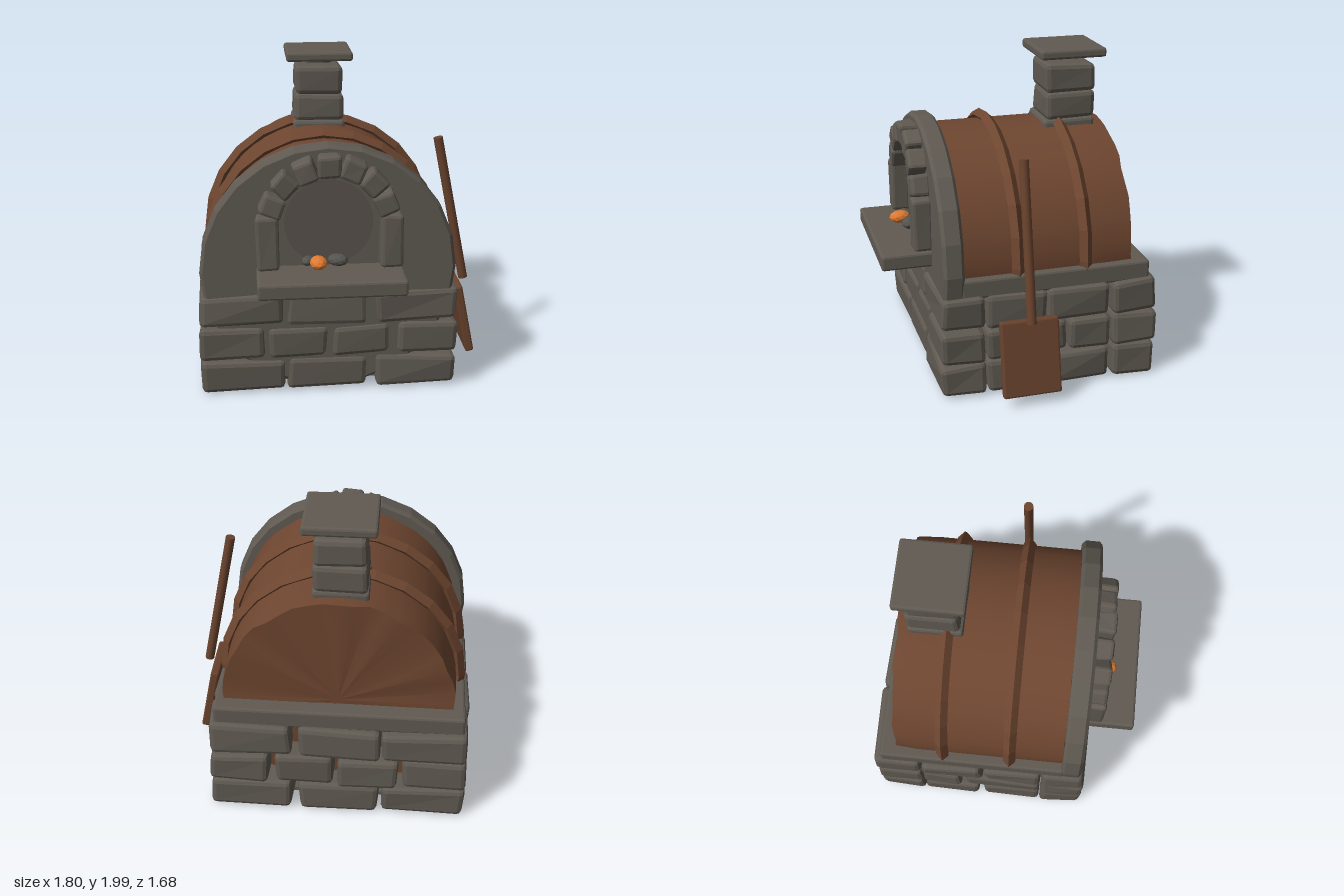
import * as THREE from 'three';
import { RoundedBoxGeometry } from 'three/addons/geometries/RoundedBoxGeometry.js';

const CX = -0.09; // centre line of the oven body

export function createModel() {
  const root = new THREE.Group();
  root.name = 'brickOven';

  const mat = (name, color) => {
    const m = new THREE.MeshStandardMaterial({ color });
    m.name = name;
    return m;
  };
  const stone = mat('stone', 0x605a52);
  const clay = mat('clay', 0x6e4630);
  const wood = mat('wood', 0x6a432e);
  const hollow = mat('hollow', 0x5a544d);
  const coal = mat('coal', 0x55534f);
  const ember = mat('ember', 0xdd7a32);

  let seed = 7;
  const rnd = () => {
    seed = (seed * 16807) % 2147483647;
    return (seed / 2147483647) * 2 - 1;
  };

  const add = (name, geo, material, x = 0, y = 0, z = 0, parent = root) => {
    const mesh = new THREE.Mesh(geo, material);
    mesh.name = name;
    mesh.position.set(x, y, z);
    parent.add(mesh);
    return mesh;
  };
  const flat = (geo) => {
    const g = geo.index ? geo.toNonIndexed() : geo;
    g.computeVertexNormals();
    return g;
  };
  const group = (name) => {
    const g = new THREE.Group();
    g.name = name;
    root.add(g);
    return g;
  };

  // Rounded block whose eight corners are nudged for a hand-cut look
  const block = (w, h, d, wobble = 0, radius = 0.03) => {
    const geo = new RoundedBoxGeometry(w, h, d, 1, Math.min(radius, w / 3, h / 3, d / 3));
    const offs = Array.from({ length: 8 }, () => new THREE.Vector3(rnd(), rnd(), rnd()).multiplyScalar(wobble));
    const p = geo.attributes.position;
    const v = new THREE.Vector3();
    for (let i = 0; i < p.count; i++) {
      v.fromBufferAttribute(p, i);
      const t = [v.x / w + 0.5, v.y / h + 0.5, v.z / d + 0.5];
      offs.forEach((o, k) => {
        const wt = t.reduce((a, c, j) => a * ((k >> j) & 1 ? c : 1 - c), 1);
        v.addScaledVector(o, wt);
      });
      p.setXYZ(i, v.x, v.y, v.z);
    }
    return flat(geo);
  };
  // Block given by its limits
  const span = (name, [x0, x1], [y0, y1], [z0, z1], wobble, parent, radius) =>
    add(name, block(x1 - x0, y1 - y0, z1 - z0, wobble, radius), stone,
      (x0 + x1) / 2, (y0 + y1) / 2, (z0 + z1) / 2, parent);

  // Base: three courses of bricks around the four sides
  const base = group('brickBase');
  const three = [[-0.89, -0.37], [-0.35, 0.15], [0.2, 0.71]];
  const four = [[-0.89, -0.5], [-0.47, -0.1], [-0.07, 0.29], [0.34, 0.71]];
  const courses = [
    { y: [0.015, 0.225], xs: three, split: -0.13 },
    { y: [0.235, 0.44], xs: four, split: -0.25 },
    { y: [0.455, 0.66], xs: three, split: -0.11 },
  ];
  courses.forEach(({ y, xs, split }) => {
    xs.forEach((x, i) => {
      const inset = i === 0 || i === xs.length - 1 ? 0 : 0.012;
      span('frontBrick', x, y, [0.28, 0.555 - inset], 0.014, base);
      span('backBrick', x, y, [-0.83, -0.535], 0.014, base);
    });
    for (const z of [[split + 0.01, 0.265], [-0.52, split - 0.01]]) {
      span('leftBrick', [0.43, 0.71], y, z, 0.014, base);
      span('rightBrick', [-0.89, -0.61], y, z, 0.014, base);
    }
  });
  add('floor', new THREE.BoxGeometry(1.3, 0.03, 1.1), stone, CX, 0.04, -0.13);

  // Ledge on top of the base
  span('ledge', [-0.86, 0.675], [0.65, 0.775], [-0.78, 0.42], 0, root, 0.015);

  // Clay barrel with a rough rear rim
  const barrelGeo = new THREE.CylinderGeometry(0.715, 0.715, 1.08, 48, 8);
  barrelGeo.rotateX(Math.PI / 2);
  const bp = barrelGeo.attributes.position;
  for (let i = 0; i < bp.count; i++) {
    const x = bp.getX(i), y = bp.getY(i), z = bp.getZ(i);
    const r = Math.hypot(x, y);
    if (r < 0.1) continue;
    const a = Math.atan2(y, x);
    const rough = Math.sin(a * 11) * 0.6 + Math.sin(a * 17 + 1.3) * 0.4;
    const rear = z < -0.5 ? 0.012 : 0.003;
    const s = 1 + rough * rear - (z < -0.5 ? 0.012 : 0);
    bp.setXYZ(i, x * s, y * s, z + (Math.abs(z) > 0.5 ? rough * 0.012 : 0));
  }
  barrelGeo.computeVertexNormals();
  add('barrel', barrelGeo, clay, CX + 0.005, 0.805, -0.135);

  // Two ridged hoops around the barrel
  for (const z of [0.06, -0.37]) {
    add('hoop', flat(new THREE.TorusGeometry(0.732, 0.04, 4, 24)), clay, CX, 0.81, z);
  }

  // Round front wall with bevelled rims
  const rim = [[0, 0.4], [0.765, 0.4], [0.785, 0.42], [0.785, 0.51], [0.765, 0.53], [0, 0.53]];
  const wall = new THREE.LatheGeometry(rim.map((p) => new THREE.Vector2(...p)), 24);
  wall.rotateX(Math.PI / 2);
  add('frontWall', flat(wall), stone, CX, 0.81, 0);

  // Mouth of the oven
  add('mouth', new THREE.CircleGeometry(0.268, 40), hollow, CX, 1.12, 0.534);

  // Arch: seven wedge stones on two pillars
  const arch = group('arch');
  for (let i = -3; i <= 3; i++) {
    const a = THREE.MathUtils.degToRad(i * 23);
    const s = add('archStone', block(0.135, 0.135, 0.125, 0.007, 0.02), stone,
      CX - Math.sin(a) * 0.365, 1.12 + Math.cos(a) * 0.365, 0.575, arch);
    s.rotation.z = a;
  }
  for (const side of [-1, 1]) {
    add('pillar', block(0.135, 0.335, 0.125, 0.006, 0.02), stone, CX + side * 0.373, 1.02, 0.575, arch);
  }

  // Shelf in front of the mouth
  span('shelf', [-0.53, 0.355], [0.75, 0.848], [0.5, 0.84], 0, root, 0.015);

  // Glowing ember between coals
  const lump = (name, m, x, z, r) => {
    const g = new THREE.IcosahedronGeometry(r, 1);
    g.scale(1, 0.58, 0.75);
    add(name, flat(g), m, x, 0.9, z).rotation.y = x * 9;
  };
  lump('ember', ember, -0.16, 0.63, 0.07);
  lump('coal', coal, -0.22, 0.59, 0.05);
  lump('coal', coal, -0.04, 0.59, 0.065);

  // Chimney
  const chimney = group('chimney');
  span('chimneyFoot', [-0.26, 0.08], [1.44, 1.545], [-0.61, -0.27], 0.004, chimney, 0.02);
  span('chimneyLower', [-0.25, 0.075], [1.535, 1.715], [-0.62, -0.295], 0.008, chimney);
  span('chimneyUpper', [-0.24, 0.07], [1.715, 1.895], [-0.61, -0.29], 0.008, chimney);
  span('chimneyNeck', [-0.165, -0.005], [1.912, 1.95], [-0.53, -0.37], 0, chimney, 0.005);
  span('chimneyCap', [-0.3, 0.13], [1.942, 2.0], [-0.66, -0.235], 0, chimney, 0.015);

  // Baker's peel leaning on the left side
  const peel = group('peel');
  const handle = add('peelHandle', new THREE.CylinderGeometry(0.03, 0.03, 0.985, 12), wood, 0.747, 1.015, 0.035, peel);
  const blade = add('peelBlade', block(0.055, 0.475, 0.365, 0, 0.012), wood, 0.827, 0.302, 0.035, peel);
  handle.rotation.z = blade.rotation.z = 0.2;

  return root;
}
